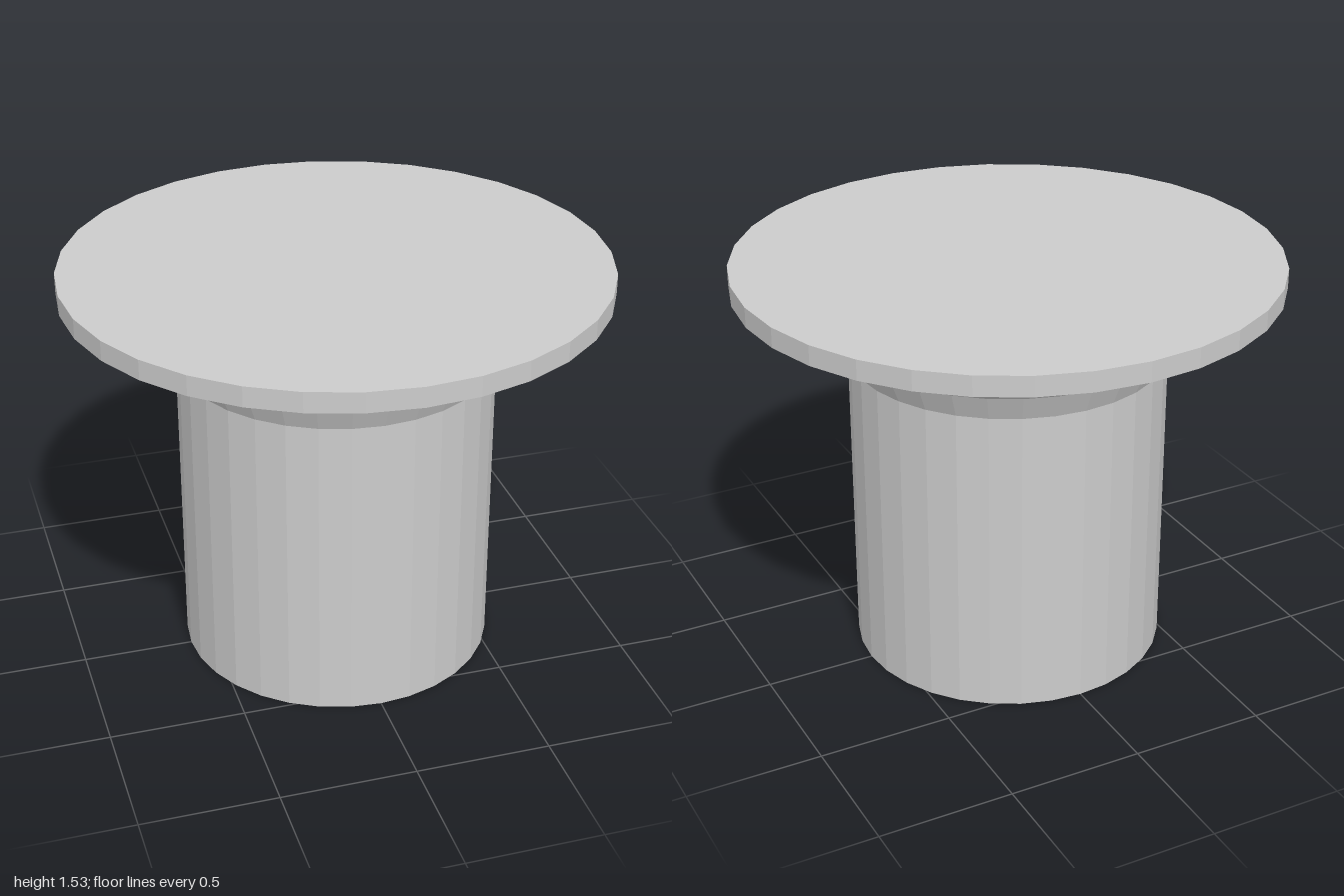
import * as THREE from 'three';

const SIDES = 32;

export function createModel() {
  const group = new THREE.Group();
  group.name = 'flangedPost';
  const material = new THREE.MeshStandardMaterial({ color: 0xcccccc, flatShading: true });

  // Revolves a bottom-to-top [radius, height] profile into a faceted part
  const addTurnedPart = (name, profile) => {
    const points = profile.map(([r, y]) => new THREE.Vector2(r, y));
    const mesh = new THREE.Mesh(new THREE.LatheGeometry(points, SIDES), material);
    mesh.name = name;
    group.add(mesh);
  };

  // Straight post with a closed base
  addTurnedPart('shaft', [[0, 0], [0.586, 0], [0.586, 1.172]]);

  // Concave flare from the post out to the rim
  addTurnedPart('flare', [[0.586, 1.172], [0.627, 1.267], [0.698, 1.343], [0.82, 1.407], [1, 1.455]]);

  // Flat disc with a thin upright rim
  addTurnedPart('topDisc', [[1, 1.455], [1, 1.53], [0, 1.53]]);

  return group;
}
